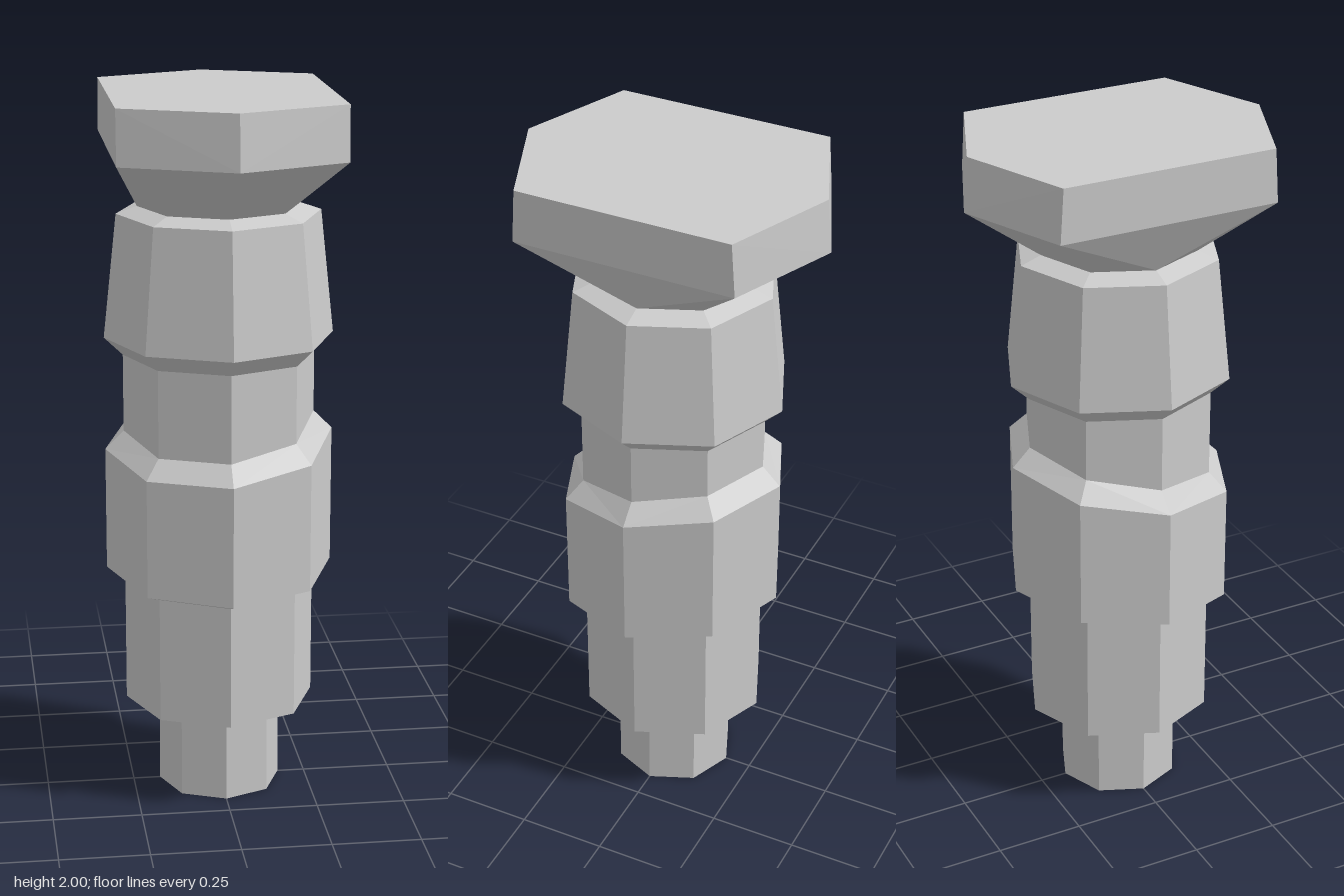
import * as THREE from 'three';

const SIDES = 8;
const material = new THREE.MeshStandardMaterial({ color: 0xcccccc, flatShading: true });

// Octagon with corners on the axes; tiltX and tiltZ slope the ring
function ring(r, y, tiltX = 0, tiltZ = 0) {
  return Array.from({ length: SIDES }, (_, i) => {
    const a = (i / SIDES) * Math.PI * 2;
    const sx = Math.sin(a), sz = Math.cos(a);
    return [r * sx, y + tiltX * sx + tiltZ * sz, r * sz];
  });
}

// Long hexagon, with the middle of each straight side as an extra point
function hexRing(halfX, sideZ, tipZ, y) {
  return [
    [0, y, tipZ], [halfX, y, sideZ], [halfX, y, 0], [halfX, y, -sideZ],
    [0, y, -tipZ], [-halfX, y, -sideZ], [-halfX, y, 0], [-halfX, y, sideZ],
  ];
}

// Skin a stack of rings, optionally closing the ends
function loft(name, rings, { bottom = false, top = false } = {}) {
  const pos = [];
  const tri = (a, b, c) => pos.push(...a, ...b, ...c);
  for (let k = 0; k < rings.length - 1; k++) {
    for (let i = 0; i < SIDES; i++) {
      const j = (i + 1) % SIDES;
      const a = rings[k][i], b = rings[k][j], c = rings[k + 1][j], d = rings[k + 1][i];
      // Mirror the diagonals so facets stay symmetric
      if (i % 2 === 0) { tri(a, b, c); tri(a, c, d); }
      else { tri(a, b, d); tri(b, c, d); }
    }
  }
  const first = rings[0], last = rings[rings.length - 1];
  for (let i = 1; i < SIDES - 1; i++) {
    if (bottom) tri(first[0], first[i + 1], first[i]);
    if (top) tri(last[0], last[i], last[i + 1]);
  }
  const geometry = new THREE.BufferGeometry();
  geometry.setAttribute('position', new THREE.Float32BufferAttribute(pos, 3));
  geometry.computeVertexNormals();
  const mesh = new THREE.Mesh(geometry, material);
  mesh.name = name;
  return mesh;
}

export function createModel() {
  const group = new THREE.Group();
  group.name = 'facetedPeg';

  // Rings shared by neighbouring parts
  const stemTop = ring(0.173, 0.235);
  const collarBottom = ring(0.268, 0.635, 0, -0.022);
  const collarTop = ring(0.268, 1.077, 0.02, -0.049);
  const shoulderBottom = ring(0.268, 1.275);
  const shoulderTop = ring(0.225, 1.69);

  group.add(
    loft('stem', [ring(0.173, 0), stemTop], { bottom: true }),
    loft('lowerShaft', [stemTop, ring(0.268, 0.26), collarBottom]),
    // Slanted collar
    loft('collar', [
      collarBottom,
      ring(0.32, 0.657, 0, -0.024),
      ring(0.32, 1.025, 0.02, -0.05),
      collarTop,
    ]),
    loft('upperShaft', [collarTop, shoulderBottom]),
    loft('shoulder', [shoulderBottom, ring(0.32, 1.325), ring(0.283, 1.67), shoulderTop]),
    // Neck flares from the octagon to the hexagonal head
    loft('neck', [shoulderTop, hexRing(0.305, 0.312, 0.44, 1.85)]),
    loft('head', [
      hexRing(0.305, 0.312, 0.44, 1.85),
      hexRing(0.305, 0.302, 0.427, 2),
    ], { top: true }),
  );
  return group;
}
